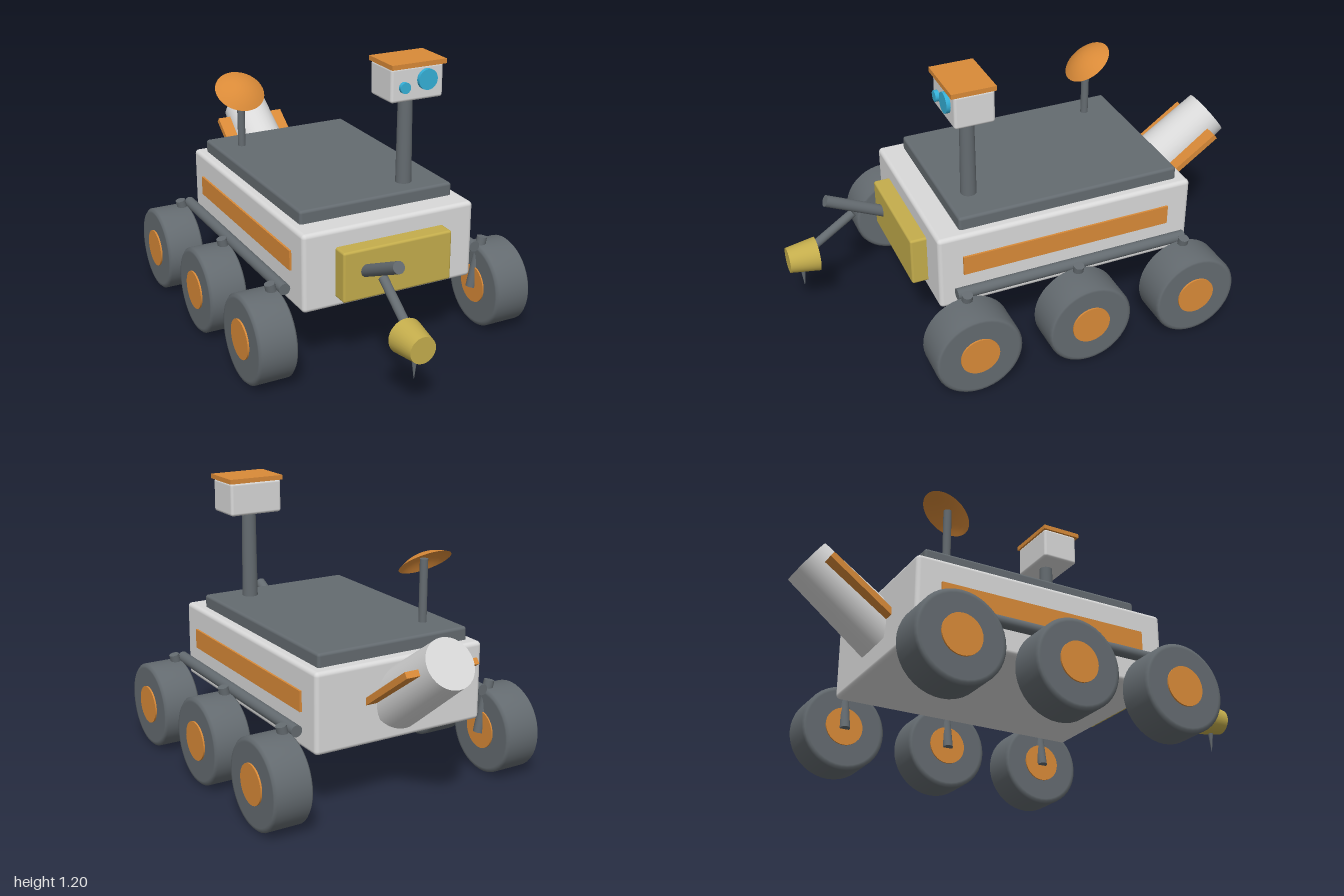
import * as THREE from 'three';
import { RoundedBoxGeometry } from 'three/addons/geometries/RoundedBoxGeometry.js';

const mat = (name, color, side = THREE.FrontSide) => {
  const m = new THREE.MeshStandardMaterial({ color, side });
  m.name = name;
  return m;
};

export function createModel() {
  const root = new THREE.Group();
  root.name = 'rover';
  const white = mat('white shell', 0xd9d9d9);
  const dark = mat('dark grey', 0x646b70);
  const orange = mat('orange', 0xd98a38, THREE.DoubleSide);
  const gold = mat('gold', 0xc4ad4c);
  const blue = mat('lens blue', 0x35b0d8);

  const add = (name, geo, material, x = 0, y = 0, z = 0, parent = root) => {
    const m = new THREE.Mesh(geo, material);
    m.name = name;
    m.position.set(x, y, z);
    parent.add(m);
    return m;
  };
  // Box given by its limits on each axis, with optional rounded edges
  const box = (name, material, [x0, x1], [y0, y1], [z0, z1], r = 0) => {
    const s = [x1 - x0, y1 - y0, z1 - z0];
    const geo = r ? new RoundedBoxGeometry(...s, 3, r) : new THREE.BoxGeometry(...s);
    return add(name, geo, material, (x0 + x1) / 2, (y0 + y1) / 2, (z0 + z1) / 2);
  };
  // Round rod between two points, radius ra at a and rb at b
  const rod = (name, material, a, b, ra, rb = ra, sides = 24) => {
    const p = new THREE.Vector3(...a), q = new THREE.Vector3(...b);
    const d = q.clone().sub(p);
    const m = add(name, new THREE.CylinderGeometry(rb, ra, d.length(), sides), material);
    m.position.copy(p).add(q).multiplyScalar(0.5);
    m.quaternion.setFromUnitVectors(new THREE.Vector3(0, 1, 0), d.normalize());
    return m;
  };

  // Hull, deck and panels
  box('body', white, [-0.39, 0.39], [0.275, 0.61], [-0.633, 0.503], 0.018);
  box('deck', dark, [-0.35, 0.35], [0.6, 0.665], [-0.583, 0.398], 0.012);
  box('frontPanel', gold, [-0.248, 0.246], [0.32, 0.535], [0.49, 0.572], 0.01);
  for (const s of [1, -1]) {
    const x = s > 0 ? [0.385, 0.399] : [-0.399, -0.385];
    box('sideStripe', orange, x, [0.425, 0.51], [-0.528, 0.4]);
  }

  // Camera mast and head
  rod('mast', dark, [0.18, 0.65, 0.292], [0.18, 1.05, 0.292], 0.034, 0.03);
  box('cameraHead', white, [0.06, 0.3], [1.04, 1.182], [0.216, 0.385], 0.012);
  box('cameraCap', orange, [0.055, 0.305], [1.18, 1.2], [0.212, 0.398]);
  rod('largeLens', blue, [0.22, 1.125, 0.37], [0.22, 1.125, 0.402], 0.043);
  rod('smallLens', blue, [0.117, 1.102, 0.37], [0.117, 1.102, 0.402], 0.023);

  // Antenna post and shallow tilted dish
  rod('antennaPost', dark, [-0.235, 0.65, -0.435], [-0.235, 0.93, -0.435], 0.017);
  const cap = [];
  for (let i = 0; i <= 8; i++) {
    const t = i / 8;
    cap.push(new THREE.Vector2(0.112 * (1 - t), 0.038 * (1 - (1 - t) ** 2)));
  }
  const dish = add('antennaDish', new THREE.LatheGeometry(cap, 32), orange, -0.235, 0.916, -0.442);
  dish.rotation.x = 0.62;

  // Rear power unit with its fin plate
  rod('powerUnit', white, [0, 0.42, -0.595], [0, 0.672, -0.937], 0.118, 0.104, 32);
  const fin = add('powerUnitFins', new THREE.BoxGeometry(0.33, 0.026, 0.33), orange, 0, 0.546, -0.757);
  fin.rotation.x = 0.62;

  // Front arm with drill head
  const ax = -0.146;
  rod('upperArm', dark, [ax, 0.435, 0.555], [ax, 0.557, 0.815], 0.025);
  rod('lowerArm', dark, [ax, 0.467, 0.7], [ax, 0.325, 0.91], 0.019);
  rod('toolHead', gold, [ax, 0.3, 0.873], [ax, 0.3, 1.0], 0.074, 0.055, 32);
  rod('drillBit', dark, [ax, 0.25, 0.94], [ax, 0.153, 0.94], 0.013, 0.001, 12);

  // Wheels, hubs, struts and rocker beams
  const w = 0.082, r = 0.186, b = 0.01;
  const tyre = new THREE.LatheGeometry(
    [[0, -w], [r - b - 0.01, -w], [r - b, -w], [r, -w + b], [r, w - b], [r - b, w], [r - b - 0.01, w], [0, w]]
      .map(p => new THREE.Vector2(...p)), 40);
  for (const s of [1, -1]) {
    rod('rockerBeam', dark, [s * 0.444, 0.375, -0.583], [s * 0.444, 0.375, 0.45], 0.024);
    for (const z of [0.425, -0.065, -0.557]) {
      add('wheel', tyre, dark, s * 0.543, r, z).rotation.z = Math.PI / 2;
      rod('hub', orange, [s * 0.455, 0.19, z], [s * 0.632, 0.19, z], 0.083, 0.083, 32);
      rod('strut', dark, [s * 0.45, 0.178, z], [s * 0.498, 0.402, z], 0.022, 0.022, 16);
    }
  }
  return root;
}
